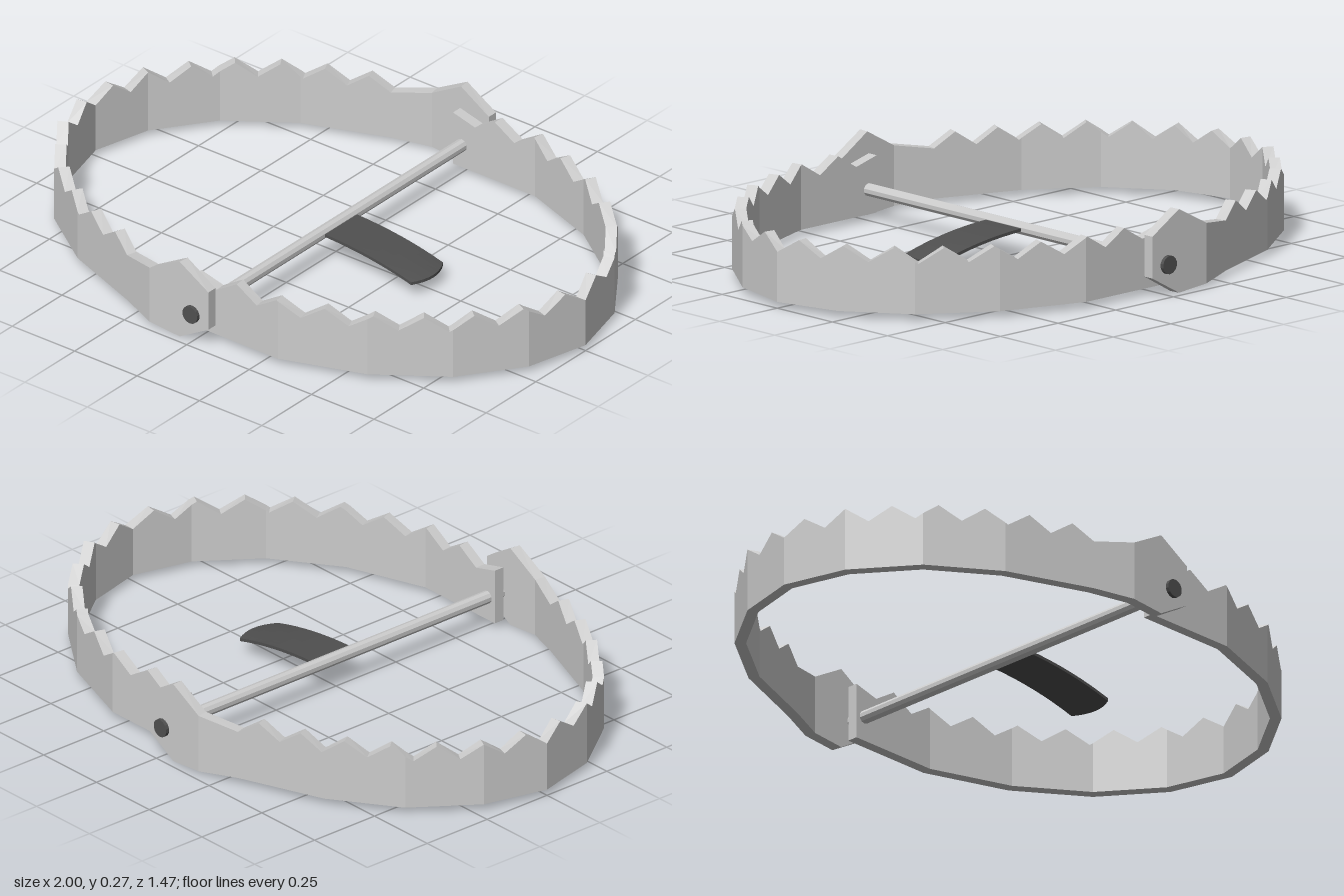
import * as THREE from 'three';

const grey = new THREE.MeshStandardMaterial({ color: 0xcccccc, flatShading: true });
const dark = new THREE.MeshStandardMaterial({ color: 0x505050, flatShading: true });
const THICK = 0.036, VALLEY = 0.187, PEAK = 0.235, BASE = 0.025, AXLE_Y = 0.105;

const lerp = THREE.MathUtils.lerp;

// Index of the span holding s in an ascending list, and the fraction along it
function locate(list, s) {
  let i = 0;
  while (i < list.length - 2 && s > list[i + 1]) i++;
  return [i, (s - list[i]) / (list[i + 1] - list[i])];
}

// Toothed band. half: outer [x, z] corners from the front hinge to the middle (x positive side).
// keys: [distance, top, bottom] for the hinge end; teeth fill the rest up to the middle.
function jawGeometry(half, keys, teeth, mirror) {
  const outer = half.map(p => new THREE.Vector2(...p));
  const all = [...outer, ...outer.slice(0, -1).reverse().map(p => new THREE.Vector2(p.x, -p.y))];
  const normal = i => {
    const d = all[i + 1].clone().sub(all[i]).normalize();
    return new THREE.Vector2(d.y, -d.x);
  };
  // mitred inner corners
  const inner = outer.map((p, i) => {
    const a = normal(Math.max(i - 1, 0)), b = normal(i);
    const m = a.clone().add(b).normalize();
    return p.clone().addScaledVector(m, THICK / m.dot(b));
  });
  const dist = [0];
  for (let i = 1; i < outer.length; i++) dist.push(dist[i - 1] + outer[i].distanceTo(outer[i - 1]));

  // height profile along the band
  const profile = keys.slice();
  const start = keys[keys.length - 1][0], length = dist[dist.length - 1];
  for (let k = 1; k <= teeth * 2; k++)
    profile.push([lerp(start, length, k / (teeth * 2)), k % 2 ? PEAK : VALLEY, BASE]);
  const marks = profile.map(k => k[0]);

  const stops = [...marks, ...dist].sort((a, b) => a - b).filter((s, i, l) => !i || s - l[i - 1] > 1e-4);
  const rings = stops.map(s => {
    const [i, t] = locate(dist, s), [k, u] = locate(marks, s);
    const o = outer[i].clone().lerp(outer[i + 1], t), n = inner[i].clone().lerp(inner[i + 1], t);
    const top = lerp(profile[k][1], profile[k + 1][1], u), low = lerp(profile[k][2], profile[k + 1][2], u);
    return [[o.x, low, o.y], [o.x, top, o.y], [n.x, top, n.y], [n.x, low, n.y]];
  });
  rings.push(...rings.slice(0, -1).reverse().map(r => r.map(([x, y, z]) => [x, y, -z])));

  const pos = [];
  const quad = (a, b, c, d) => {
    const q = mirror ? [a, c, b, a, d, c] : [a, b, c, a, c, d];
    for (const [x, y, z] of q) pos.push(mirror ? -x : x, y, z);
  };
  for (let i = 0; i < rings.length - 1; i++)
    for (let j = 0; j < 4; j++) {
      const a = rings[i], b = rings[i + 1], n = (j + 1) % 4;
      quad(a[j], b[j], b[n], a[n]);
    }
  quad(...rings[0]);
  quad(...rings[rings.length - 1].slice().reverse());
  const g = new THREE.BufferGeometry();
  g.setAttribute('position', new THREE.Float32BufferAttribute(pos, 3));
  g.computeVertexNormals();
  return g;
}

export function createModel() {
  const group = new THREE.Group();
  const add = (name, geometry, material) => {
    const mesh = new THREE.Mesh(geometry, material);
    mesh.name = name;
    group.add(mesh);
    return mesh;
  };

  // Jaws: the narrow one sits inside the wide one at the hinges
  const bow = [[0.80, 0.415], [0.945, 0.215], [1, 0]];
  add('innerJaw', jawGeometry(
    [[-0.035, 0.668], [0.30, 0.668], [0.58, 0.57], ...bow],
    [[0, 0.21, BASE], [0.09, VALLEY, BASE]], 8, false), grey);
  add('outerJaw', jawGeometry(
    [[-0.065, 0.723], [0.17, 0.723], [0.585, 0.565], ...bow],
    [[0, 0.205, 0.07], [0.115, 0.275, 0.005], [0.235, 0.21, 0.015], [0.374, VALLEY, BASE]], 7, true), grey);

  // Axle and its two end pins
  const axle = add('axle', new THREE.CylinderGeometry(0.021, 0.021, 1.42, 10).rotateX(Math.PI / 2), grey);
  axle.position.y = AXLE_Y;
  for (const side of [1, -1]) {
    const pin = add('hingePin', new THREE.CylinderGeometry(0.03, 0.03, 0.04, 14).rotateX(Math.PI / 2), dark);
    pin.position.set(0, AXLE_Y, side * 0.715);
  }

  // Trigger tongue: round-tipped plate drooping away from the axle
  const plate = new THREE.BoxGeometry(0.375, 0.01, 0.16, 8, 1, 8);
  const p = plate.attributes.position;
  for (let i = 0; i < p.count; i++) {
    const t = p.getX(i) / 0.375 + 0.5, w = p.getZ(i) / 0.08;
    p.setX(i, 0.015 + t * (0.375 - 0.025 * w * w * t));
    p.setY(i, p.getY(i) + AXLE_Y - 0.01 * t - 0.04 * t * t);
  }
  plate.computeVertexNormals();
  add('triggerTongue', plate, dark);

  return group;
}
